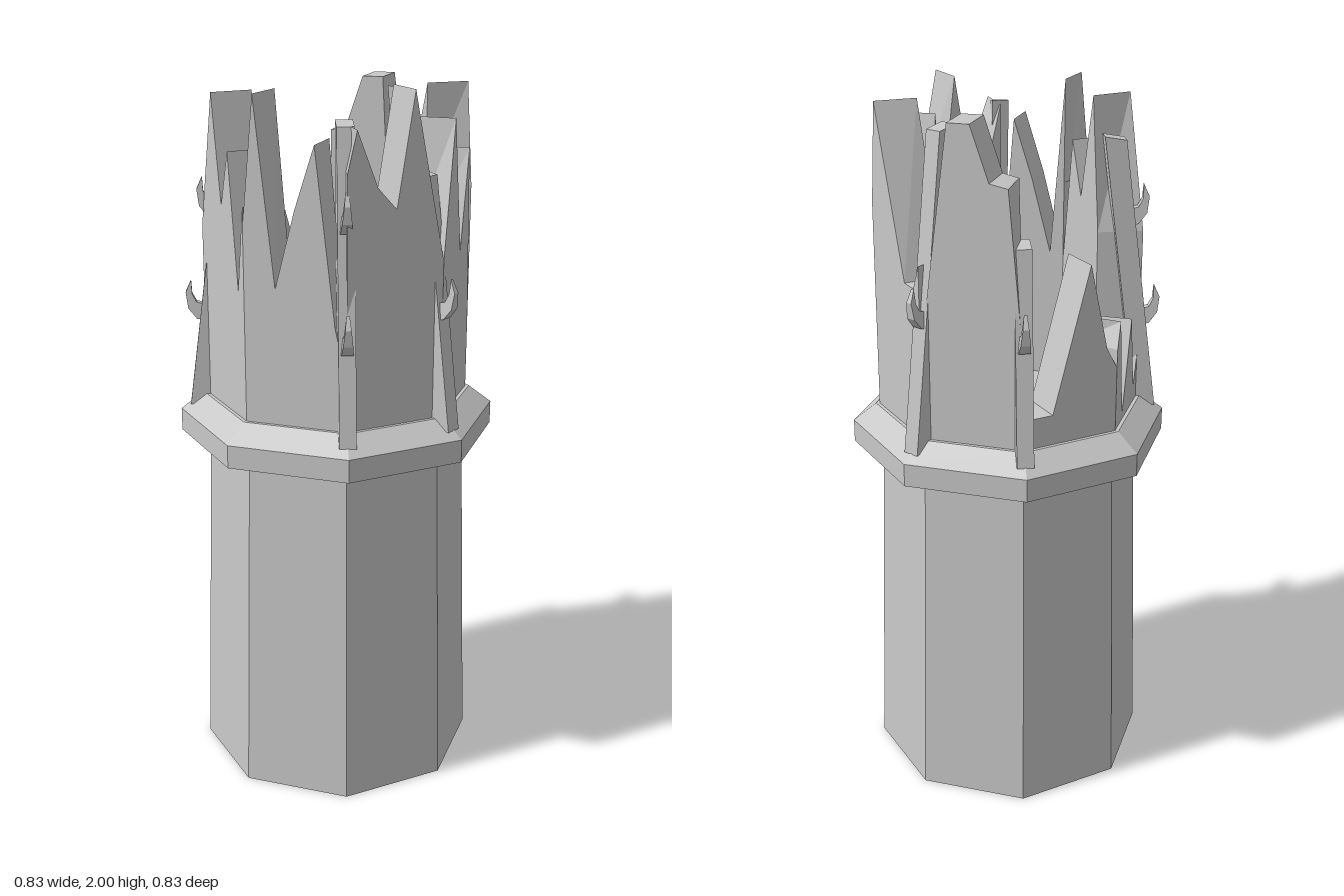
import * as THREE from 'three';

const TAN = Math.tan(Math.PI / 8);
const stone = new THREE.MeshStandardMaterial({ color: 0xc8c8c8 });
stone.name = 'pale stone';

function add(parent, geometry, name) {
  const flat = geometry.index ? geometry.toNonIndexed() : geometry;
  flat.computeVertexNormals();
  const mesh = new THREE.Mesh(flat, stone);
  mesh.name = name;
  parent.add(mesh);
  return mesh;
}

// Eight-sided section, sized by the distance from centre to flat side
function octagon(bottom, top, y0, y1) {
  const k = 1 / Math.cos(Math.PI / 8);
  return new THREE.CylinderGeometry(top * k, bottom * k, y1 - y0, 8, 1, false, Math.PI / 8)
    .translate(0, (y0 + y1) / 2, 0);
}

// Broken wall slab: jagged top outline, ends mitred to meet its neighbours
const INNER = 0.227, OUTER = 0.345, FLOOR = 1.11;
function wallSlab(outline) {
  const first = outline[0][0], last = outline[outline.length - 1][0];
  const shape = new THREE.Shape([[first, FLOOR], [last, FLOOR], ...outline.slice().reverse()]
    .map(([x, y]) => new THREE.Vector2(x, y)));
  const geo = new THREE.ExtrudeGeometry(shape, { depth: OUTER - INNER, bevelEnabled: false });
  geo.translate(0, 0, INNER);
  const p = geo.attributes.position;
  for (let i = 0; i < p.count; i++) {
    const limit = p.getZ(i) * TAN;
    p.setX(i, THREE.MathUtils.clamp(p.getX(i), -limit, limit));
  }
  return geo;
}

// Shape drawn in the radius/height plane, given a width across
function radialPlate(shape, width) {
  return new THREE.ExtrudeGeometry(shape, { depth: width, bevelEnabled: false })
    .translate(0, 0, -width / 2).rotateY(-Math.PI / 2);
}

// Upward curling horn, tapering in width to its tip
function horn() {
  const shape = new THREE.Shape([[-0.02, -0.03], [0.012, -0.025], [0.036, 0.005], [0.042, 0.05],
    [0.026, 0.085], [0.024, 0.045], [0.012, 0.022], [-0.02, 0.015]]
    .map(([x, y]) => new THREE.Vector2(x, y)));
  const geo = radialPlate(shape, 0.034);
  const p = geo.attributes.position;
  for (let i = 0; i < p.count; i++) {
    p.setX(i, p.getX(i) * THREE.MathUtils.clamp(1 - (p.getY(i) + 0.03) * 6.5, 0.25, 1));
  }
  return geo;
}

export function createModel() {
  const tower = new THREE.Group();
  tower.name = 'ruinedTower';

  // Tapered shaft and projecting collar
  add(tower, octagon(0.368, 0.338, 0, 1.01), 'shaft');
  add(tower, octagon(0.415, 0.415, 1, 1.065), 'collar');
  add(tower, octagon(0.415, 0.355, 1.065, 1.115), 'collarSlope');

  // Eight broken walls, starting at the front and turning towards +x
  const outlines = [
    [[-0.143, 1.8], [-0.115, 1.91], [-0.055, 1.76], [0, 1.7], [0.05, 2], [0.12, 1.66], [0.143, 1.55]],
    [[-0.143, 1.55], [-0.05, 1.91], [0.035, 1.54], [0.11, 1.81], [0.143, 1.3]],
    [[-0.143, 1.7], [-0.11, 1.98], [0.055, 1.53], [0.11, 1.53], [0.143, 1.6]],
    [[-0.143, 1.35], [-0.06, 1.975], [0, 1.975], [0.05, 1.83], [0.1, 1.82], [0.143, 1.35]],
    [[-0.143, 1.2], [-0.055, 1.2], [0.055, 1.6], [0.11, 1.36], [0.143, 1.3]],
    [[-0.143, 1.35], [-0.11, 1.42], [-0.06, 1.13], [0.03, 1.38], [0.08, 1.16], [0.143, 1.3]],
    [[-0.143, 1.6], [-0.055, 1.97], [0, 1.68], [0.05, 1.83], [0.105, 1.47], [0.143, 1.7]],
    [[-0.143, 1.65], [-0.11, 1.99], [-0.055, 1.49], [0, 1.7], [0.055, 1.87], [0.11, 1.4], [0.143, 1.25]],
  ];
  outlines.forEach((outline, i) => {
    add(tower, wallSlab(outline), 'brokenWall').rotation.y = i * Math.PI / 4;
  });

  // Leaning corner braces with horns: [eighths of a turn, top height, horn heights]
  const braces = [
    [0.5, 1.77, [1.42]],
    [2.5, 1.94, [1.46]],
    [3.5, 1.66, [1.42]],
    [5.5, 1.86, [1.36, 1.65]],
    [7.5, 1.91, [1.36, 1.67]],
  ];
  const lean = (y) => 0.42 - (y - 1.09) * 0.135;
  for (const [turn, top, horns] of braces) {
    const brace = new THREE.Group();
    brace.name = 'cornerBrace';
    brace.rotation.y = turn * Math.PI / 4;
    const beam = new THREE.Shape([
      new THREE.Vector2(lean(1.085) - 0.06, 1.085), new THREE.Vector2(lean(1.085), 1.085),
      new THREE.Vector2(lean(top), top), new THREE.Vector2(lean(top) - 0.06, top + 0.01),
    ]);
    add(brace, radialPlate(beam, 0.046), 'beam');
    for (const y of horns) add(brace, horn(), 'horn').position.set(0, y, lean(y));
    tower.add(brace);
  }

  // Small tapered blocks standing on the floor
  for (const [x, z, w, d] of [[-0.157, -0.132, 0.075, 0.085], [-0.157, 0.004, 0.078, 0.074],
    [0.18, -0.112, 0.062, 0.078], [0.15, 0.06, 0.073, 0.09]]) {
    const block = new THREE.CylinderGeometry(Math.SQRT1_2 * 0.65, Math.SQRT1_2, 0.1, 4, 1, false, Math.PI / 4);
    block.scale(w, 1, d);
    add(tower, block, 'floorBlock').position.set(x, 1.16, z);
  }
  return tower;
}
